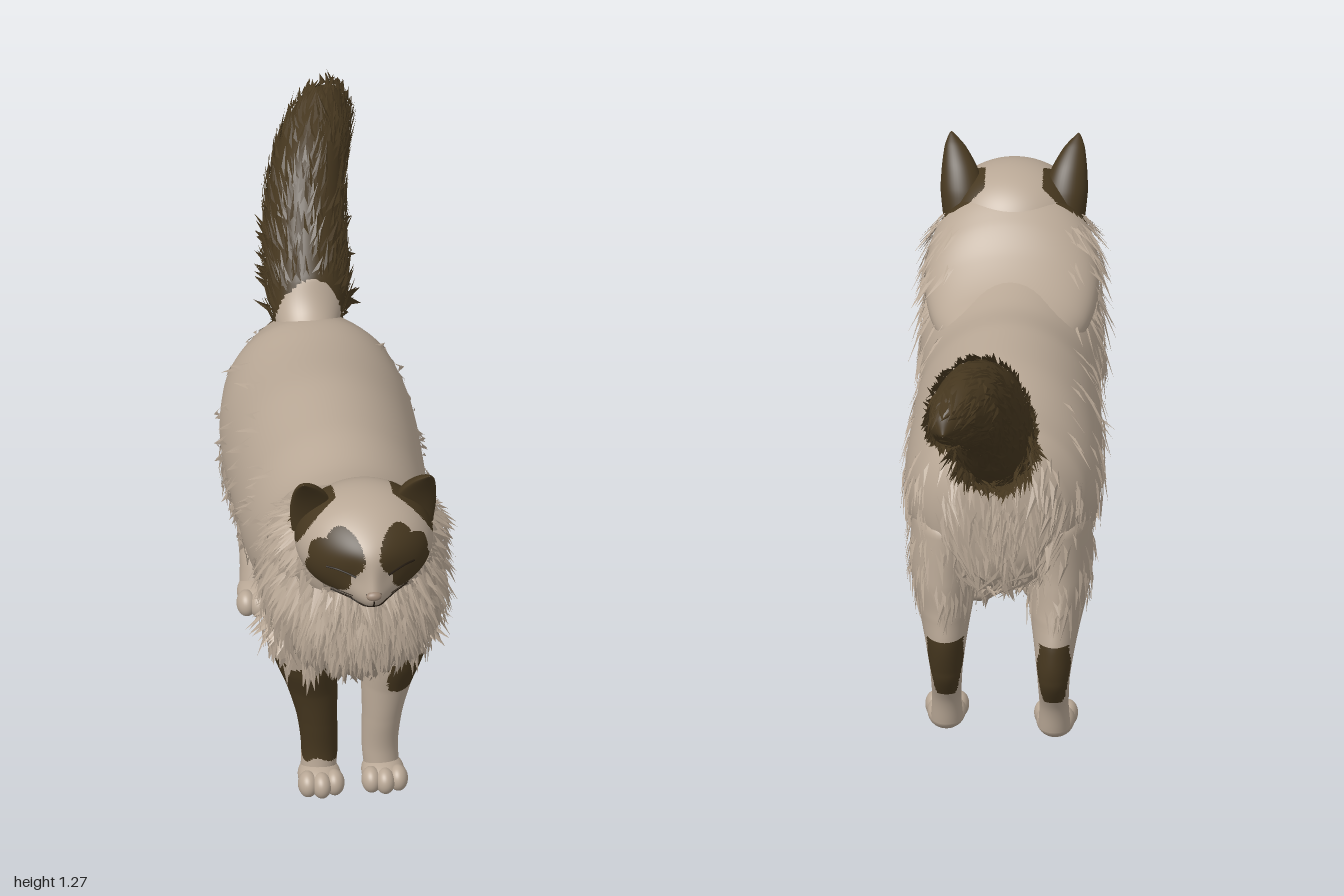
import * as THREE from 'three';
import { mergeVertices } from 'three/addons/utils/BufferGeometryUtils.js';

const V = (x, y, z) => new THREE.Vector3(x, y, z);
const mat = (name, color, side = THREE.FrontSide) => {
  const m = new THREE.MeshStandardMaterial({ color, side });
  m.name = name;
  return m;
};

// Small seeded random
let seed = 7;
const rnd = () => (seed = (seed * 16807) % 2147483647) / 2147483647;

// Smooth tube through rows of [x, y, z, halfWidth, halfDepth]; hollow < 1 flattens or dishes one side
function loft(rows, steps, n, axis = null, hollow = 1) {
  const path = new THREE.CatmullRomCurve3(rows.map(r => V(r[0], r[1], r[2])));
  const size = new THREE.CatmullRomCurve3(rows.map(r => V(r[3], r[4], 0)));
  const pos = [], idx = [], u = V(1, 0, 0);
  for (let i = 0; i <= steps; i++) {
    const t = i / steps, c = path.getPoint(t), s = size.getPoint(t);
    const v = (axis || path.getTangent(t)).clone().cross(u).normalize();
    for (let j = 0; j < n; j++) {
      const a = j / n * Math.PI * 2, sin = Math.sin(a);
      const p = c.clone().addScaledVector(u, Math.max(s.x, 0.001) * Math.cos(a))
        .addScaledVector(v, Math.max(s.y, 0.001) * (sin < 0 ? sin * hollow : sin));
      pos.push(p.x, p.y, p.z);
      if (i < steps) {
        const b = i * n + j, d = i * n + (j + 1) % n;
        idx.push(b, d, b + n, d, d + n, b + n);
      }
    }
  }
  const g = new THREE.BufferGeometry();
  g.setAttribute('position', new THREE.Float32BufferAttribute(pos, 3));
  g.setIndex(idx);
  g.computeVertexNormals();
  return g;
}

// Sphere reshaped by a rule
function blob(w, h, rule) {
  let g = new THREE.SphereGeometry(1, w, h);
  g.deleteAttribute('uv');
  g.deleteAttribute('normal');
  g = mergeVertices(g, 1e-5);
  const p = g.attributes.position, q = V(0, 0, 0);
  for (let i = 0; i < p.count; i++) {
    q.fromBufferAttribute(p, i);
    rule(q);
    p.setXYZ(i, q.x, q.y, q.z);
  }
  g.computeVertexNormals();
  return g;
}

// Splits triangles into two material groups by where their centre lies
function paint(g, test) {
  const p = g.attributes.position, ix = g.index.array, sets = [[], []];
  for (let i = 0; i < ix.length; i += 3) {
    const c = V(0, 0, 0);
    for (let k = 0; k < 3; k++) c.add(V(0, 0, 0).fromBufferAttribute(p, ix[i + k]));
    c.divideScalar(3);
    sets[test(c) ? 1 : 0].push(ix[i], ix[i + 1], ix[i + 2]);
  }
  g.setIndex([...sets[0], ...sets[1]]);
  g.addGroup(0, sets[0].length, 0);
  g.addGroup(sets[0].length, sets[1].length, 1);
  return g;
}

// Pointed fur locks scattered over a surface; flow gives the direction or null to skip
function locks(surface, count, len, width, lift, flow) {
  const P = surface.attributes.position, N = surface.attributes.normal, pos = [];
  for (let k = 0, made = 0; k < count * 10 && made < count; k++) {
    const i = Math.floor(rnd() * P.count);
    const p = V(0, 0, 0).fromBufferAttribute(P, i), n = V(0, 0, 0).fromBufferAttribute(N, i);
    const d = flow(p, n);
    if (!d) continue;
    made++;
    d.add(V(rnd() - 0.5, rnd() - 0.5, rnd() - 0.5).multiplyScalar(0.4));
    d.addScaledVector(n, -d.dot(n)).normalize();
    const s = d.clone().cross(n), l = len * (0.6 + 0.8 * rnd()), w = width * (0.7 + 0.6 * rnd());
    const L = p.clone().addScaledVector(s, -w), R = p.clone().addScaledVector(s, w);
    const M = p.clone().addScaledVector(n, w * 0.5).addScaledVector(d, l * 0.3);
    const T = p.clone().addScaledVector(d, l).addScaledVector(n, lift * (0.5 + rnd()));
    for (const q of [L, M, T, M, R, T]) pos.push(q.x, q.y, q.z);
  }
  const g = new THREE.BufferGeometry();
  g.setAttribute('position', new THREE.Float32BufferAttribute(pos, 3));
  g.computeVertexNormals();
  return g;
}

// Front surface of the head, with muzzle, bridge, chin and forehead swelling forward
const bump = (x, y, cy, wx, wy) => Math.exp(-((x / wx) ** 2) - ((y - cy) / wy) ** 2);
const swell = (x, y) => 0.05 * bump(x, y, 0.89, 0.06, 0.045) + 0.022 * bump(x, y, 0.945, 0.03, 0.05)
  + 0.03 * bump(x, y, 0.85, 0.04, 0.03) + 0.022 * bump(x, y, 1.025, 0.1, 0.055);
const faceZ = (x, y) => 0.78 + 0.17 * Math.sqrt(Math.max(0, 1 - (x / 0.18) ** 2 - ((y - 0.965) / 0.145) ** 2)) + swell(x, y);

// Dark markings on the head
const earRoot = c => Math.abs(c.x) > 0.075 && Math.hypot(c.z - 0.755, c.y - 1.03) < 0.072;
const eyePatch = c => c.z > 0.82 && [[0.108, 0.943, 0.054, 0.057], [0.1, 0.985, 0.056, 0.055], [0.068, 1.012, 0.048, 0.058]]
  .some(([x, y, a, b]) => Math.hypot((Math.abs(c.x) - x) / a, (c.y - y) / b) < 1);

export function createModel() {
  const cat = new THREE.Group();
  cat.name = 'cat';
  const light = mat('cream fur', 0xb9a896), dark = mat('dark brown fur', 0x46371f);
  const lightLock = mat('cream fur locks', 0xb9a896, THREE.DoubleSide);
  const darkLock = mat('dark brown fur locks', 0x46371f, THREE.DoubleSide);
  const line = mat('dark line', 0x231a10), noseMat = mat('nose', 0x9c8775);
  const both = [light, dark], up = V(0, 1, 0), ahead = V(0, 0, 1);
  const add = (name, g, m) => {
    const mesh = new THREE.Mesh(g, m);
    mesh.name = name;
    cat.add(mesh);
  };

  // Body and chest
  const body = loft([
    [0, 0.66, -0.452, 0.005, 0.005], [0, 0.66, -0.444, 0.12, 0.13], [0, 0.65, -0.41, 0.18, 0.2],
    [0, 0.65, -0.33, 0.228, 0.23], [0, 0.63, -0.2, 0.253, 0.257], [0, 0.625, 0, 0.253, 0.285],
    [0, 0.624, 0.2, 0.247, 0.285], [0, 0.637, 0.38, 0.232, 0.258], [0, 0.66, 0.5, 0.235, 0.265],
    [0, 0.7, 0.6, 0.235, 0.28], [0, 0.73, 0.7, 0.215, 0.25], [0, 0.735, 0.77, 0.172, 0.185],
    [0, 0.73, 0.81, 0.105, 0.115], [0, 0.73, 0.827, 0.005, 0.005]], 90, 72, ahead);
  add('body', body, light);
  add('bodyFur', locks(body, 1000, 0.08, 0.012, 0.008, (p, n) => {
    if (p.y > 0.86 || n.y > 0.75 || (p.y > 0.74 && p.z < 0.45 && rnd() > 0.3)) return null;
    return p.z > 0.5 ? V(p.x * 0.8, -1, -0.25) : V(0, -0.8, -0.7);
  }), lightLock);
  add('chestRuff', locks(body, 420, 0.1, 0.015, 0.014, p =>
    p.z > 0.52 && p.y < 0.88 ? V(p.x * 0.8, -1, -0.15) : null), lightLock);
  add('bellyFringe', locks(body, 160, 0.075, 0.013, 0.014, (p, n) =>
    n.y < -0.3 && p.z < 0.5 ? V(p.x, -0.6, -0.8) : null), lightLock);

  // Sloping neck and cheek ruff, joining head and shoulders
  const neck = loft([
    [0, 0.79, 0.38, 0.17, 0.09], [0, 0.805, 0.45, 0.2, 0.1], [0, 0.83, 0.53, 0.22, 0.125],
    [0, 0.865, 0.61, 0.226, 0.157], [0, 0.892, 0.69, 0.218, 0.177], [0, 0.9, 0.75, 0.194, 0.168],
    [0, 0.895, 0.8, 0.15, 0.13], [0, 0.89, 0.825, 0.08, 0.07], [0, 0.89, 0.832, 0.003, 0.003]], 70, 72, ahead);
  add('ruffFur', locks(neck, 320, 0.08, 0.012, 0.014, (p, n) =>
    p.y < 1.0 && Math.abs(n.x) > 0.4 && p.z > 0.53 ? V(p.x, -0.9, -0.4) : null), lightLock);
  add('neck', paint(neck, earRoot), both);

  // Head with dark eye patches and ear roots
  const head = paint(blob(150, 110, q => {
    const front = q.z > 0;
    q.set(q.x * 0.18, 0.965 + q.y * 0.143, 0.78 + q.z * 0.17);
    if (front) q.z += swell(q.x, q.y) * Math.min(1, (q.z - 0.78) / 0.06);
  }), c => eyePatch(c) || earRoot(c));
  add('head', head, both);
  add('cheekFur', locks(head, 140, 0.05, 0.009, 0.012, p =>
    p.z < 0.85 && p.z > 0.7 && p.y < 0.95 ? V(p.x * 3, -0.8, -0.5) : null), lightLock);

  // Nose, mouth, muzzle
  add('nose', new THREE.SphereGeometry(1, 24, 16).scale(0.02, 0.013, 0.012)
    .translate(0, 0.917, faceZ(0, 0.917) - 0.003), noseMat);
  const stroke = (name, pts, r) => add(name, new THREE.TubeGeometry(new THREE.CatmullRomCurve3(
    pts.map(([x, y, out = 0]) => V(x, y, faceZ(x, y) + 0.001 + out))), 20, r, 6), line);
  stroke('philtrum', [[0, 0.905], [0, 0.893], [0, 0.88]], 0.002);
  for (const s of [1, -1]) {
    const side = s > 0 ? 'left' : 'right';
    stroke(side + 'Mouth', [[0, 0.88], [s * 0.02, 0.87], [s * 0.04, 0.87], [s * 0.058, 0.878]], 0.0022);
    stroke(side + 'Nostril', [[s * 0.006, 0.912, 0.002], [s * 0.014, 0.914, 0.002], [s * 0.019, 0.92]], 0.002);
    stroke(side + 'EyeSlit', [[s * 0.042, 0.958], [s * 0.065, 0.966], [s * 0.09, 0.972], [s * 0.115, 0.97]], 0.003);
    for (let i = 0; i < 3; i++)
      stroke(side + 'Whisker', [[s * 0.05, 0.895 - i * 0.01], [s * 0.075, 0.893 - i * 0.012, 0.002],
        [s * 0.1, 0.897 - i * 0.014, 0.004]], 0.0011);

    // Ear, dished toward the front
    add(side + 'Ear', loft([
      [s * 0.13, 0.98, 0.75, 0.055, 0.06], [s * 0.134, 1.04, 0.76, 0.057, 0.05],
      [s * 0.142, 1.095, 0.78, 0.047, 0.036], [s * 0.155, 1.145, 0.81, 0.027, 0.018],
      [s * 0.164, 1.17, 0.83, 0.007, 0.005], [s * 0.165, 1.175, 0.834, 0.001, 0.001]], 36, 40, null, 0.35), dark);

    // Front leg: the right one is mostly dark, the left has a patch and a dark rear
    const fore = loft([
      [s * 0.083, 0.03, 0.49, 0.046, 0.05], [s * 0.079, 0.1, 0.483, 0.047, 0.05],
      [s * 0.085, 0.2, 0.482, 0.052, 0.06], [s * 0.098, 0.3, 0.476, 0.066, 0.078],
      [s * 0.114, 0.38, 0.472, 0.08, 0.105], [s * 0.135, 0.5, 0.47, 0.088, 0.12],
      [s * 0.13, 0.62, 0.47, 0.01, 0.01]], 80, 48, up);
    add(side + 'ShoulderFur', locks(fore, 150, 0.075, 0.013, 0.012, p =>
      p.y > 0.43 ? V(0, -1, -0.2) : null), lightLock);
    add(side + 'FrontLeg', paint(fore, c => {
      const wave = 0.01 * Math.sin(c.x * 70 + c.z * 50);
      if (c.y < 0.085 + wave || c.y > 0.41 + wave) return false;
      if (s < 0) return !(c.z < 0.46 && c.y > 0.31 && c.y < 0.36 && c.x < -0.09) && !(c.x > -0.05 && c.z < 0.48);
      return (c.y > 0.31 + wave && c.x > 0.09) || (c.z < 0.442 && c.x < 0.105);
    }), both);

    // Hind leg with a dark hock
    const z = s > 0 ? 0 : -0.045;
    const hind = loft([
      [s * 0.14, 0.03, -0.31 + z, 0.042, 0.05], [s * 0.14, 0.1, -0.333 + z, 0.038, 0.044],
      [s * 0.14, 0.2, -0.376 + z, 0.042, 0.05], [s * 0.142, 0.28, -0.345 + z * 0.6, 0.055, 0.1],
      [s * 0.145, 0.36, -0.28 + z * 0.3, 0.074, 0.16], [s * 0.15, 0.46, -0.262, 0.088, 0.175],
      [s * 0.14, 0.6, -0.27, 0.09, 0.16], [s * 0.13, 0.72, -0.28, 0.01, 0.01]], 90, 48, up);
    add(side + 'ThighFur', locks(hind, 110, 0.07, 0.012, 0.01, p =>
      p.y > 0.38 && p.y < 0.6 ? V(0, -0.9, -0.4) : null), lightLock);
    add(side + 'HindLeg', paint(hind, c =>
      c.y > 0.13 && c.y < 0.3 && c.z < -0.392 + z + 0.006 * Math.sin(c.y * 60)), both);

    // Paws with toes and dark pads
    for (const [part, px, pz, rx, rz] of [['Front', 0.083, 0.515, 0.056, 0.075], ['Hind', 0.142, -0.275, 0.05, 0.078]]) {
      const shift = part === 'Hind' ? z : 0;
      const paw = (name, x, zz, a, b, c) => add(side + part + name, paint(blob(32, 24, q =>
        q.set(s * x + q.x * a, Math.max(0, 0.032 + q.y * b), zz + shift + q.z * c)), p => p.y < 0.004), both);
      paw('Paw', px, pz, rx, 0.038, rz);
      for (const o of [-1, 0, 1])
        paw('Toe', px + o * rx * 0.62, pz + rz * (0.66 - 0.14 * o * o), 0.026, 0.035, 0.035);
    }
  }

  // Bushy tail with a light root
  const tail = loft([
    [0, 0.8, -0.3, 0.06, 0.06], [0, 0.83, -0.37, 0.08, 0.072], [0.01, 0.875, -0.45, 0.1, 0.112],
    [0.015, 0.97, -0.56, 0.104, 0.13], [0.03, 1.07, -0.66, 0.1, 0.126], [0.06, 1.127, -0.76, 0.092, 0.11],
    [0.09, 1.146, -0.85, 0.078, 0.088], [0.118, 1.14, -0.92, 0.048, 0.058], [0.13, 1.13, -0.96, 0.004, 0.004]], 80, 48);
  add('tail', paint(tail, c => c.z < -0.385), both);
  add('tailFur', locks(tail, 900, 0.07, 0.012, 0.011, p =>
    p.z < -0.39 && p.z > -0.92 ? V(0.15, p.z < -0.8 ? 0 : 0.6, -0.8) : null), darkLock);
  add('tailSkirt', locks(tail, 160, 0.075, 0.012, 0.026, (p, n) =>
    p.z < -0.4 && p.z > -0.62 && n.y < 0 ? V(0, -0.2, -0.6) : null), darkLock);
  return cat;
}
